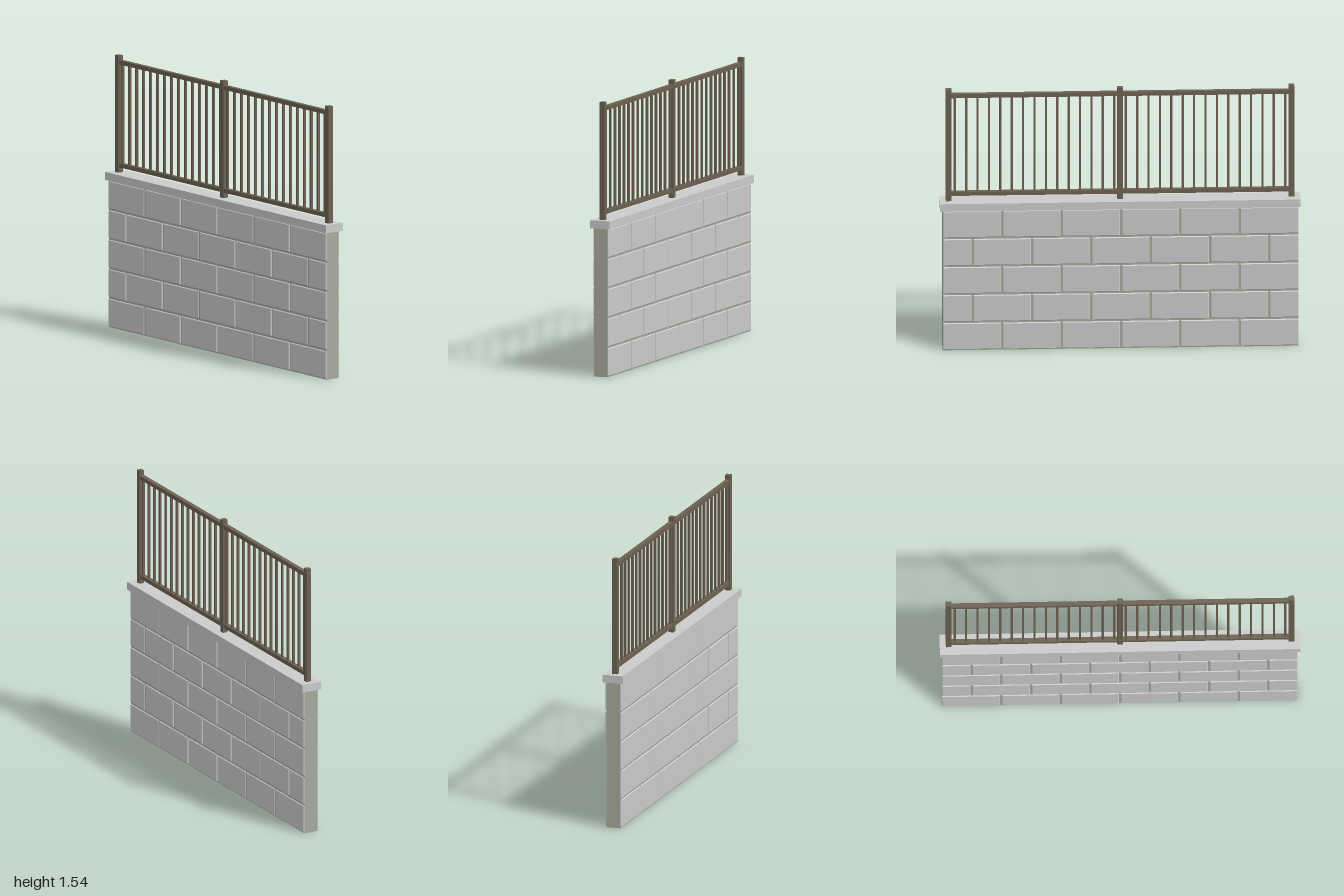
import * as THREE from 'three';

const stone = new THREE.MeshStandardMaterial({ color: 0xcccccc, flatShading: true });
const mortar = new THREE.MeshStandardMaterial({ color: 0xaaaa9f, flatShading: true });
const metal = new THREE.MeshStandardMaterial({ color: 0x6e6252, flatShading: true });

function addBox(parent, name, material, size, position) {
  const mesh = new THREE.Mesh(new THREE.BoxGeometry(...size), material);
  mesh.name = name;
  mesh.position.set(...position);
  parent.add(mesh);
  return mesh;
}

// Block facing both sides of the wall, with chamfered front and back faces
function blockGeometry(width, height, depth, bevel) {
  const geometry = new THREE.BoxGeometry(width, height, depth, 1, 1, 3);
  const p = geometry.attributes.position;
  for (let i = 0; i < p.count; i++) {
    const outer = Math.abs(p.getZ(i)) > depth * 0.4;
    const side = Math.sign(p.getZ(i));
    if (outer) {
      p.setX(i, p.getX(i) - Math.sign(p.getX(i)) * bevel);
      p.setY(i, p.getY(i) - Math.sign(p.getY(i)) * bevel);
    } else {
      p.setZ(i, side * (depth / 2 - bevel));
    }
  }
  geometry.computeVertexNormals();
  return geometry;
}

function createWall() {
  const wall = new THREE.Group();
  wall.name = 'wall';
  const left = -0.99, right = 0.985, top = 0.832, rows = 5, joint = 0.01;
  const centre = (left + right) / 2;
  const pitch = (right - left) / 6, rowHeight = top / rows;

  addBox(wall, 'mortarCore', mortar, [right - left, top, 0.082], [centre, top / 2, 0]);
  addBox(wall, 'copingSlab', stone, [2, 0.045, 0.12], [0, 0.8535, 0]);

  // Running bond: odd rows start and end with a half block
  for (let row = 0; row < rows; row++) {
    const shift = row % 2 ? pitch / 2 : 0;
    const count = row % 2 ? 7 : 6;
    for (let i = 0; i < count; i++) {
      const x0 = Math.max(left, left + i * pitch - shift);
      const x1 = Math.min(right, left + (i + 1) * pitch - shift);
      const a = i === 0 ? x0 + 0.001 : x0 + joint / 2;
      const b = i === count - 1 ? x1 - 0.001 : x1 - joint / 2;
      const block = new THREE.Mesh(blockGeometry(b - a, rowHeight - joint, 0.094, 0.004), stone);
      block.name = 'block';
      block.position.set((a + b) / 2, (row + 0.5) * rowHeight, 0);
      wall.add(block);
    }
  }
  return wall;
}

function createRailing() {
  const railing = new THREE.Group();
  railing.name = 'railing';
  for (const x of [-0.951, 0, 0.951]) {
    addBox(railing, 'post', metal, [0.031, 0.664, 0.029], [x, 1.205, 0]);
  }
  // Rails run through the posts and end just beyond them
  addBox(railing, 'bottomRail', metal, [1.936, 0.023, 0.026], [0, 0.918, 0]);
  addBox(railing, 'topRail', metal, [1.936, 0.023, 0.026], [0, 1.499, 0]);
  for (const side of [-1, 1]) {
    for (let i = 0; i < 15; i++) {
      const x = side * (0.032 + i * 0.0632);
      addBox(railing, 'baluster', metal, [0.012, 0.574, 0.012], [x, 1.2085, 0]);
    }
  }
  return railing;
}

export function createModel() {
  const model = new THREE.Group();
  model.name = 'blockWallWithRailing';
  model.add(createWall(), createRailing());
  return model;
}
